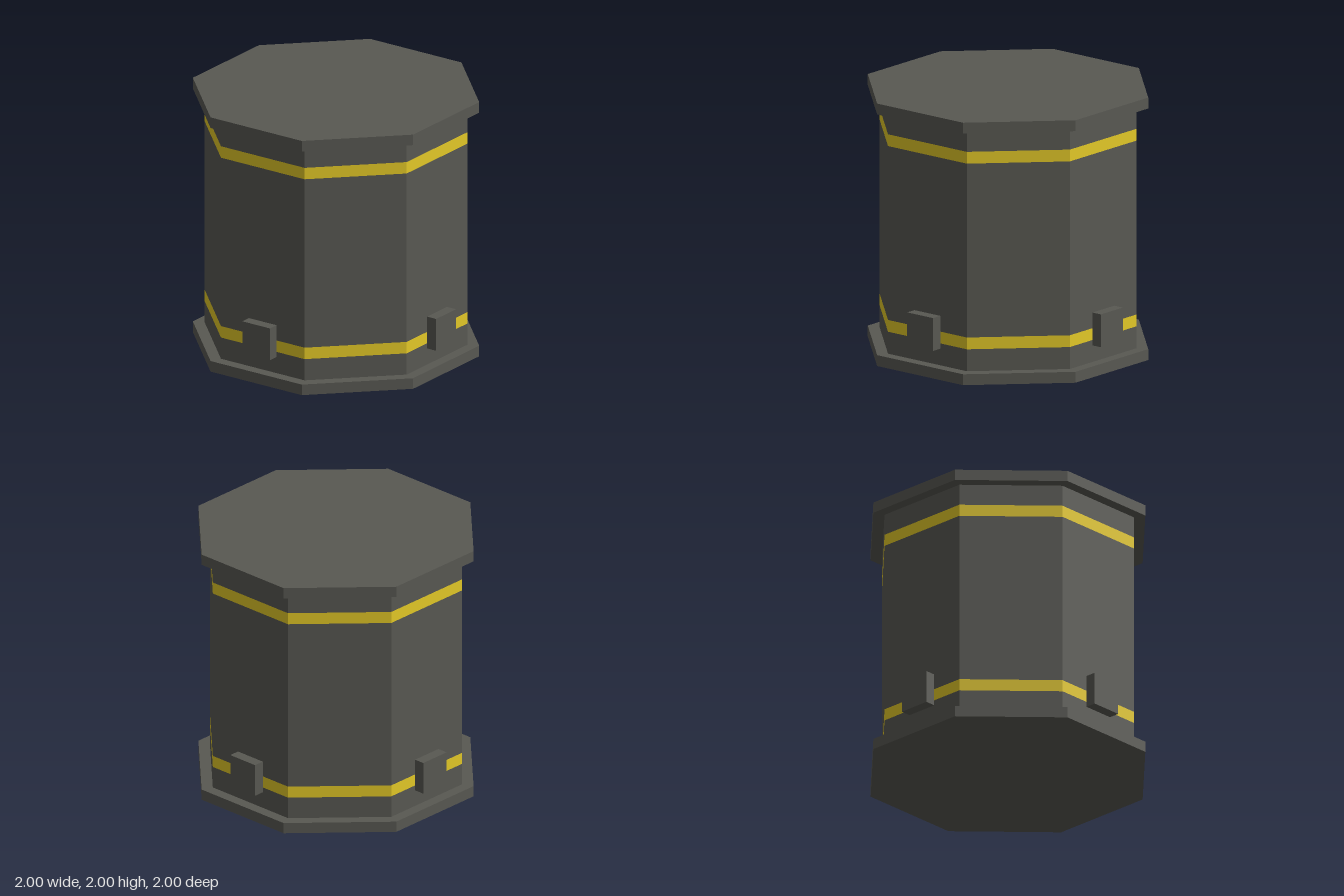
import * as THREE from 'three';

export function createModel() {
  const model = new THREE.Group();
  model.name = 'octagonalContainer';

  const darkGrey = new THREE.MeshStandardMaterial({ color: 0x585852, flatShading: true });
  darkGrey.name = 'dark grey';
  const yellow = new THREE.MeshStandardMaterial({ color: 0xe3c827, flatShading: true });
  yellow.name = 'yellow';

  // Octagonal prism with flat sides facing the axes; apothem is centre to flat side
  function addOctagon(name, apothem, y0, y1, material, open) {
    const radius = apothem / Math.cos(Math.PI / 8);
    const geometry = new THREE.CylinderGeometry(radius, radius, y1 - y0, 8, 1, open, Math.PI / 8);
    const mesh = new THREE.Mesh(geometry, material);
    mesh.name = name;
    mesh.position.y = (y0 + y1) / 2;
    model.add(mesh);
  }

  // End plates
  addOctagon('basePlate', 1, 0, 0.083, darkGrey, false);
  addOctagon('topPlate', 1, 1.917, 2, darkGrey, false);

  // Body walls with flush painted bands between them
  const wall = 0.917;
  addOctagon('lowerWall', wall, 0.083, 0.25, darkGrey, true);
  addOctagon('lowerStripe', wall, 0.25, 0.34, yellow, true);
  addOctagon('middleWall', wall, 0.34, 1.665, darkGrey, true);
  addOctagon('upperStripe', wall, 1.665, 1.755, yellow, true);
  addOctagon('upperWall', wall, 1.755, 1.917, darkGrey, true);

  // Connector blocks on the front, left, back and right sides
  const blockGeometry = new THREE.BoxGeometry(0.25, 0.25, 0.1);
  ['front', 'left', 'back', 'right'].forEach((side, i) => {
    const angle = (i * Math.PI) / 2;
    const block = new THREE.Mesh(blockGeometry, darkGrey);
    block.name = side + 'Connector';
    block.position.set(Math.sin(angle) * 0.95, 0.335, Math.cos(angle) * 0.95);
    block.rotation.y = angle;
    model.add(block);
  });

  return model;
}
